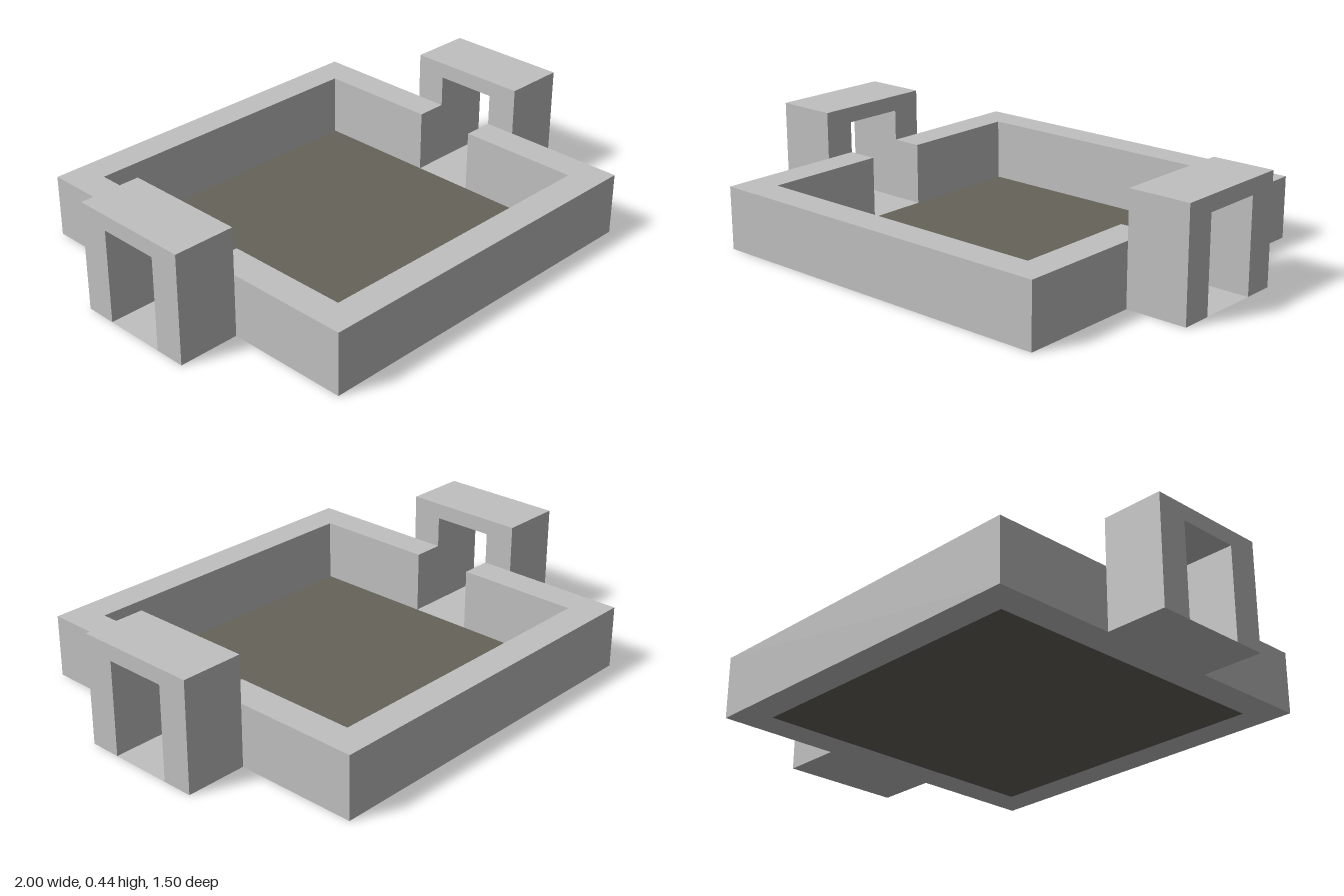
import * as THREE from 'three';

const OUT = 0.75, IN = 0.625, GAP = 0.125;   // wall faces and doorway half width
const WALL_H = 0.25, GATE_H = 0.4375, DOOR_H = 0.375, GATE_D = 0.25;

const polygon = (points) => new THREE.Shape(points.map(([x, y]) => new THREE.Vector2(x, y)));

export function createModel() {
  const stone = new THREE.MeshStandardMaterial({ color: 0xc0c0c0, side: THREE.DoubleSide });
  stone.name = 'grey stone';
  const earth = new THREE.MeshStandardMaterial({ color: 0x66635a, side: THREE.DoubleSide });
  earth.name = 'brown floor';

  const model = new THREE.Group();
  model.name = 'walledYard';
  const add = (name, geometry, material, turn = 0) => {
    const mesh = new THREE.Mesh(geometry, material);
    mesh.name = name;
    mesh.rotation.y = turn;
    model.add(mesh);
  };

  // Half of the yard wall, a bracket in plan that ends at the doorways
  const wall = new THREE.ExtrudeGeometry(polygon([
    [-OUT, GAP], [-IN, GAP], [-IN, IN], [IN, IN], [IN, GAP], [OUT, GAP], [OUT, OUT], [-OUT, OUT],
  ]), { depth: WALL_H, bevelEnabled: false });
  wall.rotateX(-Math.PI / 2);

  // Gatehouse, an arch outline extruded outwards along x
  const gate = new THREE.ExtrudeGeometry(polygon([
    [-0.25, 0], [-GAP, 0], [-GAP, DOOR_H], [GAP, DOOR_H], [GAP, 0], [0.25, 0], [0.25, GATE_H], [-0.25, GATE_H],
  ]), { depth: GATE_D, bevelEnabled: false });
  gate.rotateY(Math.PI / 2).translate(OUT, 0, 0);

  // Paved strip through the doorway and the gatehouse
  const paving = new THREE.PlaneGeometry(OUT + GATE_D - IN, 2 * GAP);
  paving.rotateX(-Math.PI / 2).translate((OUT + GATE_D + IN) / 2, 0, 0);

  // Both halves, the second turned half way round
  [['back', 'left', 0], ['front', 'right', Math.PI]].forEach(([end, side, turn]) => {
    add(end + 'Wall', wall, stone, turn);
    add(side + 'Gatehouse', gate, stone, turn);
    add(side + 'Paving', paving, stone, turn);
  });

  // Yard floor
  add('yardFloor', new THREE.PlaneGeometry(2 * IN, 2 * IN).rotateX(-Math.PI / 2), earth);
  return model;
}
